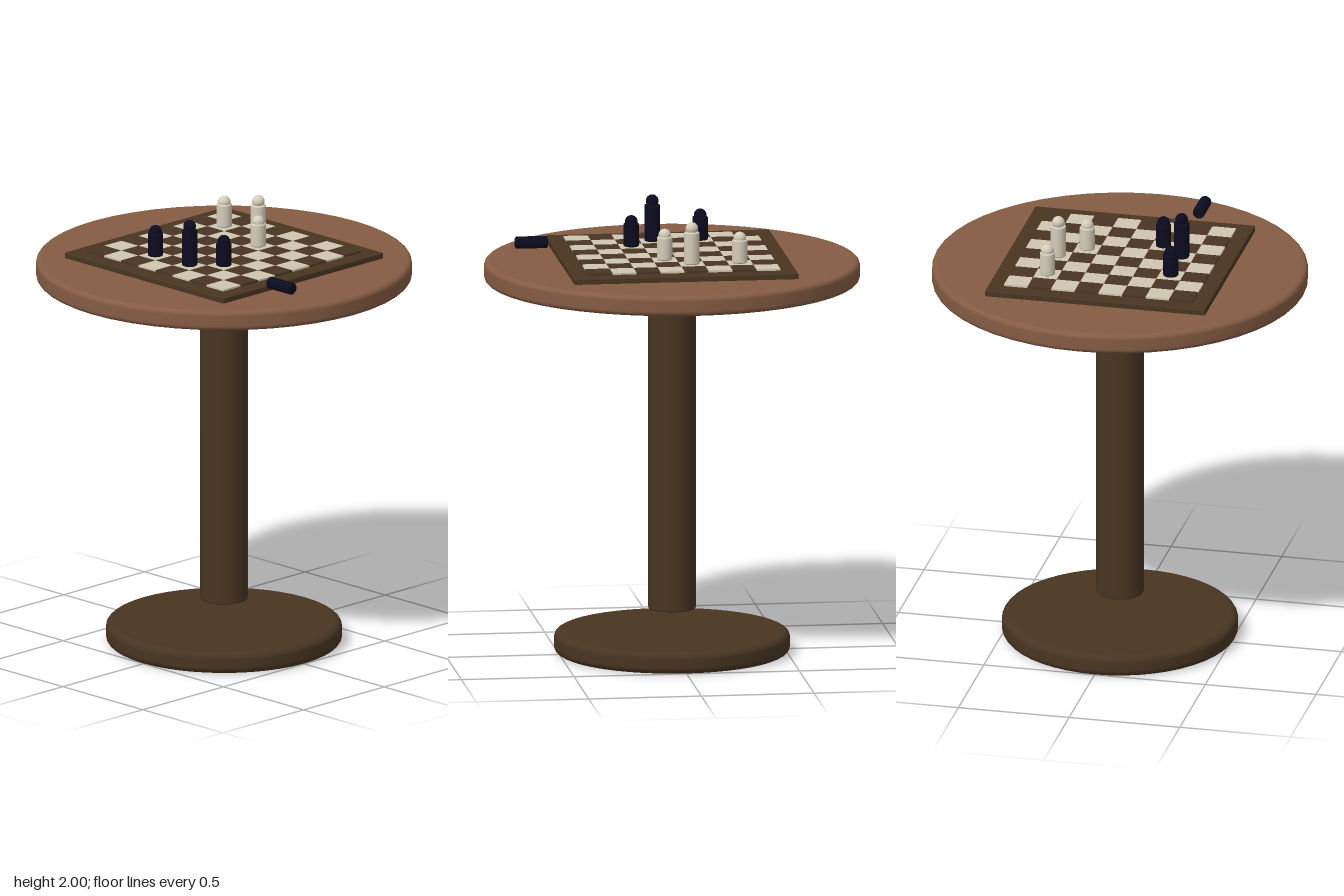
import * as THREE from 'three';
import { mergeGeometries } from 'three/addons/utils/BufferGeometryUtils.js';
import { RoundedBoxGeometry } from 'three/addons/geometries/RoundedBoxGeometry.js';

const material = (name, color) => {
  const m = new THREE.MeshStandardMaterial({ color });
  m.name = name;
  return m;
};

// Solid disc or rod standing on y = 0, with rounded rims
function roundedCylinder(radius, height, bevel, sides) {
  const points = [new THREE.Vector2(0, 0), new THREE.Vector2(radius - bevel * 1.1, 0)];
  const steps = 5;
  for (const [cy, start] of [[bevel, -Math.PI / 2], [height - bevel, 0]]) {
    for (let i = 0; i <= steps; i++) {
      const a = start + (i / steps) * Math.PI / 2;
      points.push(new THREE.Vector2(radius - bevel + Math.cos(a) * bevel, cy + Math.sin(a) * bevel));
    }
  }
  points.push(new THREE.Vector2(radius - bevel * 1.1, height), new THREE.Vector2(0, height));
  return new THREE.LatheGeometry(points, sides);
}

export function createModel() {
  const model = new THREE.Group();
  model.name = 'chessTable';

  const tableWood = material('table wood', 0x855c43);
  const darkWood = material('dark wood', 0x483521);
  const darkSquare = material('dark square', 0x483424);
  const lightSquare = material('light square', 0xcfc6b0);
  const ivory = material('ivory', 0xd6cdb9);
  const ebony = material('ebony', 0x0b0b20);

  const add = (name, geometry, mat, x = 0, y = 0, z = 0, parent = model) => {
    const mesh = new THREE.Mesh(geometry, mat);
    mesh.name = name;
    mesh.position.set(x, y, z);
    parent.add(mesh);
    return mesh;
  };

  // Table: foot, column and round top
  add('foot', roundedCylinder(0.52, 0.097, 0.03, 48), darkWood);
  add('column', roundedCylinder(0.105, 1.474, 0.006, 32), darkWood, 0, 0.196, 0);
  add('tableTop', roundedCylinder(0.828, 0.09, 0.022, 48), tableWood, 0, 1.668, 0);

  // Board: frame and 8 x 8 squares
  add('boardFrame', new RoundedBoxGeometry(0.994, 0.032, 0.994, 2, 0.007), darkWood, 0, 1.768, 0);
  const cell = 0.1065;
  const at = (i) => (i - 3.5) * cell;
  const tiles = [[], []];
  for (let row = 0; row < 8; row++) {
    for (let col = 0; col < 8; col++) {
      const tile = new THREE.BoxGeometry(cell, 0.009, cell);
      tiles[(row + col) % 2].push(tile.translate(at(col), 1.7875, at(row)));
    }
  }
  add('lightSquares', mergeGeometries(tiles[0]), lightSquare);
  add('darkSquares', mergeGeometries(tiles[1]), darkSquare);

  // Chess pieces: name, material, column, row, body height, total height
  const pieces = [
    ['ivoryPawn', ivory, 1, 1, 0.105, 0.139],
    ['ivoryBishop', ivory, 3, 1, 0.145, 0.187],
    ['ivoryPawn', ivory, 4, 2, 0.105, 0.139],
    ['ebonyPawn', ebony, 2, 6, 0.105, 0.139],
    ['ebonyKing', ebony, 4, 6, 0.165, 0.208],
    ['ebonyPawn', ebony, 5, 5, 0.105, 0.139],
  ];
  const headRadius = 0.028;
  for (const [name, mat, col, row, bodyHeight, height] of pieces) {
    const piece = new THREE.Group();
    piece.name = name;
    piece.position.set(at(col), 1.792, at(row));
    add('body', roundedCylinder(0.034, bodyHeight, 0.007, 24), mat, 0, 0, 0, piece);
    add('head', new THREE.SphereGeometry(headRadius, 24, 16), mat, 0, height - headRadius, 0, piece);
    model.add(piece);
  }

  // Captured piece lying beside the board
  const captured = add('capturedPiece', roundedCylinder(0.027, 0.144, 0.008, 24), ebony, 0.666, 1.806, 0.234);
  captured.rotation.z = Math.PI / 2;

  return model;
}
